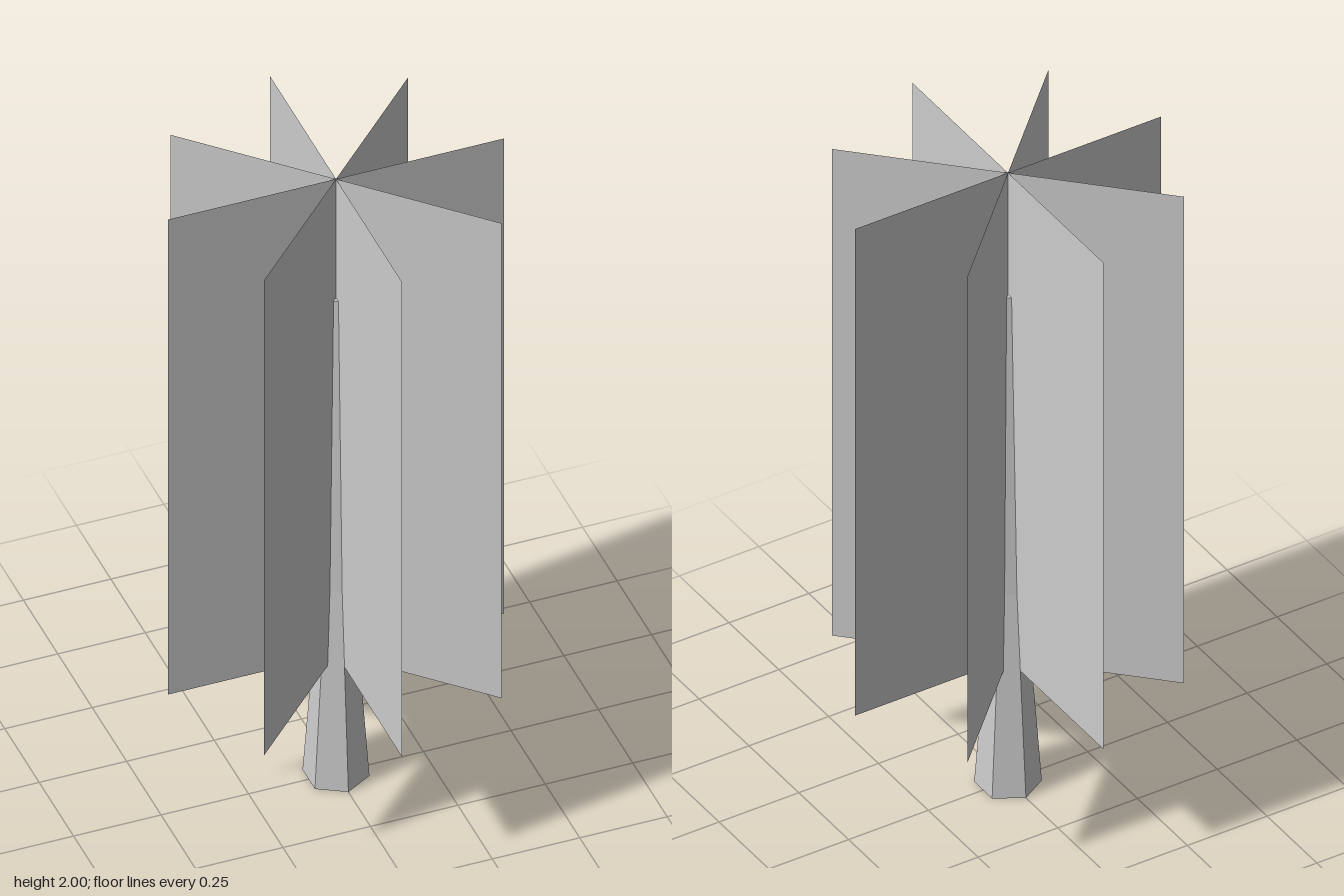
import * as THREE from 'three';

export function createModel() {
  const model = new THREE.Group();
  model.name = 'tree';

  // Six-sided trunk: flares at the base, slender towards the tip, closed at both ends
  const profile = [[0, 0], [0.09, 0], [0.045, 0.64], [0.018, 1.6], [0, 1.6]]
    .map(([r, y]) => new THREE.Vector2(r, y));
  const trunk = new THREE.Mesh(
    new THREE.LatheGeometry(profile, 6),
    new THREE.MeshStandardMaterial({ color: 0xcccccc, flatShading: true })
  );
  trunk.name = 'trunk';
  model.add(trunk);

  // Foliage: four upright cards crossing on the trunk axis
  const foliage = new THREE.Group();
  foliage.name = 'foliage';
  const cardGeometry = new THREE.PlaneGeometry(0.96, 1.6);
  const cardMaterial = new THREE.MeshStandardMaterial({ color: 0xcccccc, side: THREE.DoubleSide });
  for (let i = 0; i < 4; i++) {
    const card = new THREE.Mesh(cardGeometry, cardMaterial);
    card.name = `foliageCard${i + 1}`;
    card.position.y = 1.2;
    card.rotation.y = (i * Math.PI) / 4;
    foliage.add(card);
  }
  model.add(foliage);

  return model;
}
